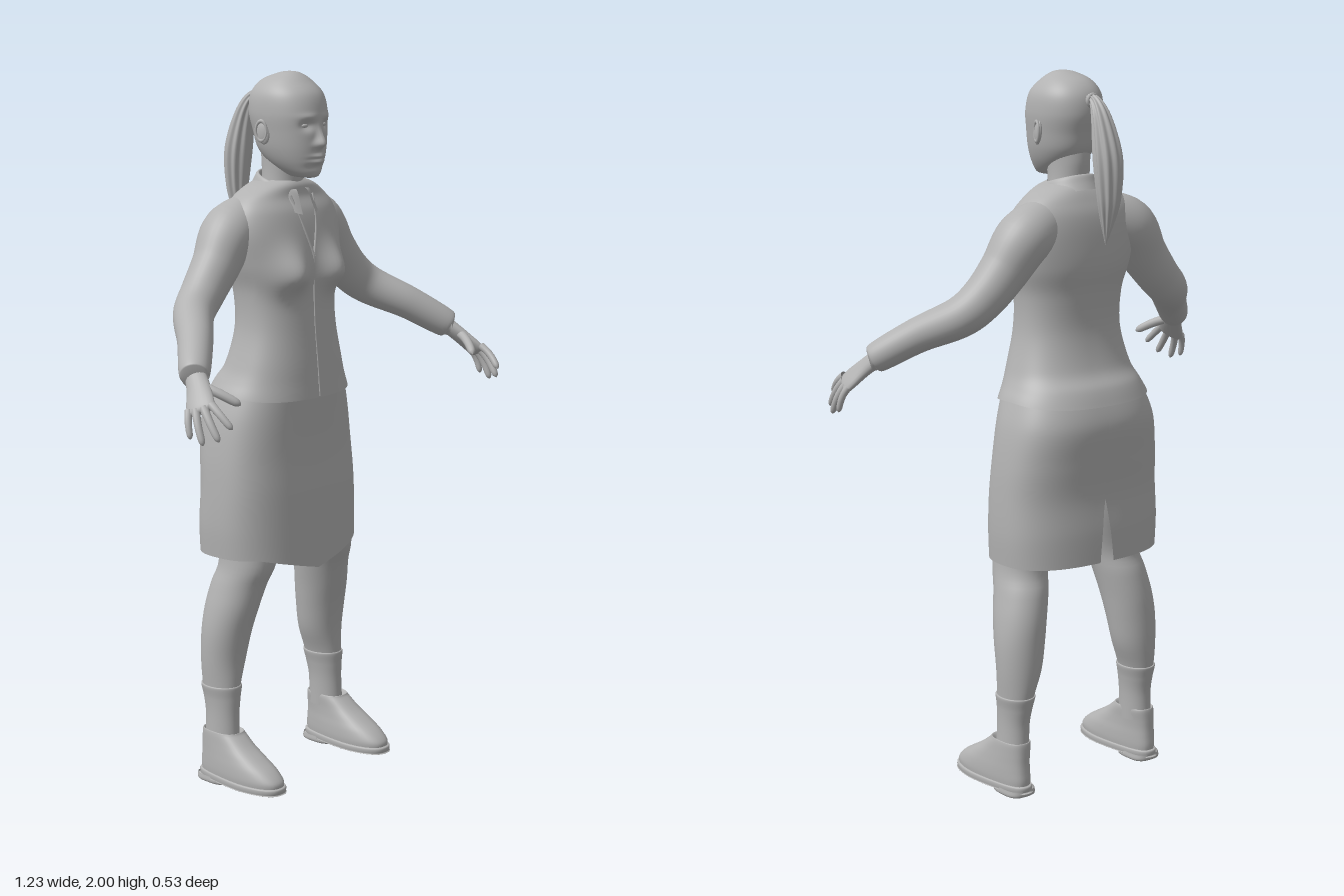
import * as THREE from 'three';

const grey = new THREE.MeshStandardMaterial({ color: 0xb2b2b2, side: THREE.DoubleSide });
grey.name = 'plain grey';

const V = (x, y, z) => new THREE.Vector3(x, y, z);
const bump = (d, w) => Math.exp(-(d / w) * (d / w));
const spow = (c, n) => Math.sign(c) * Math.pow(Math.abs(c), 2 / n);

// Smooth interpolation through rows of numbers, t in 0..1
function sample(rows, t) {
  const f = t * (rows.length - 1);
  const i = Math.min(Math.floor(f), rows.length - 2);
  const k = f - i;
  const at = (j) => rows[Math.max(0, Math.min(rows.length - 1, j))];
  return rows[0].map((_, c) => {
    const [a, b, d, e] = [at(i - 1)[c], at(i)[c], at(i + 1)[c], at(i + 2)[c]];
    return b + 0.5 * k * (d - a + k * (2 * a - 5 * b + 4 * d - e + k * (3 * (b - d) + e - a)));
  });
}

// Smooth surface from a function of u (around) and v (along)
function surface(name, nu, nv, fn, closed = true) {
  const pos = [], idx = [];
  const cols = closed ? nu : nu + 1;
  for (let j = 0; j <= nv; j++)
    for (let i = 0; i < cols; i++) pos.push(...fn(i / nu, j / nv).toArray());
  for (let j = 0; j < nv; j++)
    for (let i = 0; i < nu; i++) {
      const a = j * cols + i, b = j * cols + (i + 1) % cols;
      idx.push(a, b, b + cols, a, b + cols, a + cols);
    }
  const g = new THREE.BufferGeometry();
  g.setAttribute('position', new THREE.Float32BufferAttribute(pos, 3));
  g.setIndex(idx);
  g.computeVertexNormals();
  const m = new THREE.Mesh(g, grey);
  m.name = name;
  return m;
}

// Upright loft; rows are [y, half width, front z, back z, centre x]
function loft(name, rows, { n = 2, nu = 40, nv = 40, deform, slit } = {}) {
  return surface(name, nu, nv, (u, v) => {
    const [y, w, zf, zb, cx = 0] = sample(rows, v);
    const gap = slit ? slit(y) : 0;
    const a = slit ? Math.PI + gap + u * (2 * Math.PI - 2 * gap) : u * 2 * Math.PI;
    const p = V(cx + w * spow(Math.sin(a), n), y, (zf + zb) / 2 + (zf - zb) / 2 * spow(Math.cos(a), n));
    if (deform) deform(p);
    return p;
  }, !slit);
}

// Limb along a path; rows are [x, y, z, radius along side, other radius]
function limb(name, rows, side, { nu = 20, nv = 24, ripple = 0 } = {}) {
  return surface(name, nu, nv, (u, v) => {
    const s = sample(rows, v);
    const T = V(...sample(rows, Math.min(1, v + 0.01))).sub(V(...sample(rows, Math.max(0, v - 0.01)))).normalize();
    const B = side.clone().addScaledVector(T, -side.dot(T)).normalize();
    const N = T.clone().cross(B);
    const a = u * 2 * Math.PI, r = 1 + ripple * Math.cos(9 * a + 4 * v);
    return V(s[0], s[1], s[2]).addScaledVector(B, s[3] * r * Math.cos(a)).addScaledVector(N, s[4] * r * Math.sin(a));
  });
}

function ball(name, x, y, z, sx, sy, sz) {
  const m = new THREE.Mesh(new THREE.SphereGeometry(1, 20, 14), grey);
  m.position.set(x, y, z);
  m.scale.set(sx, sy, sz);
  m.name = name;
  return m;
}

function seam(name, pts, r) {
  const path = new THREE.CatmullRomCurve3(pts.map((p) => V(...p)));
  const m = new THREE.Mesh(new THREE.TubeGeometry(path, 24, r, 6), grey);
  m.name = name;
  return m;
}

function buildHead() {
  const g = new THREE.Group();
  g.name = 'head';
  // Skull and face with nose, eye sockets, brows, lips
  g.add(loft('skull', [
    [1.713, 0.004, 0.035, 0.01], [1.72, 0.035, 0.054, -0.04], [1.75, 0.062, 0.061, -0.095],
    [1.79, 0.08, 0.066, -0.135], [1.84, 0.09, 0.066, -0.15], [1.89, 0.096, 0.065, -0.162],
    [1.94, 0.09, 0.05, -0.155], [1.975, 0.065, 0.015, -0.125], [1.995, 0.03, -0.015, -0.075],
    [2.0, 0.001, -0.04, -0.045]], {
    n: 2.15, nu: 110, nv: 90,
    deform(p) {
      if (p.z < 0) return;
      const ax = Math.abs(p.x), y = p.y;
      const ridge = y > 1.808 ? bump(y - 1.808, 0.035) : bump(y - 1.808, 0.011);
      p.z += 0.023 * bump(p.x, 0.009 + 0.007 * bump(y - 1.805, 0.015)) * ridge;
      p.z -= 0.012 * bump(ax - 0.036, 0.018) * bump(y - 1.858, 0.013);
      p.z += 0.004 * bump(ax - 0.036, 0.025) * bump(y - 1.882, 0.008);
      p.z += 0.008 * bump(p.x, 0.024) * (bump(y - 1.774, 0.006) + bump(y - 1.76, 0.006));
      p.z -= 0.004 * bump(p.x, 0.026) * bump(y - 1.767, 0.003);
      p.z -= 0.004 * bump(p.x, 0.03) * bump(y - 1.744, 0.008);
    } }));
  g.add(loft('neck', [[1.6, 0.08, 0, -0.13], [1.66, 0.062, -0.012, -0.13], [1.71, 0.056, -0.01, -0.128],
    [1.76, 0.056, 0, -0.132], [1.8, 0.06, 0, -0.13]]));
  for (const s of [1, -1]) {
    g.add(ball('eye', s * 0.036, 1.858, 0.043, 0.014, 0.007, 0.009));
    const ear = ball('ear', s * 0.094, 1.838, -0.055, 0.009, 0.033, 0.019);
    ear.rotation.set(-0.15, s * -0.3, 0);
    const rim = new THREE.Mesh(new THREE.TorusGeometry(0.019, 0.004, 8, 24), grey);
    rim.name = 'earRim';
    rim.position.set(s * 0.1, 1.842, -0.057);
    rim.rotation.set(0, Math.PI / 2 - s * 0.3, 0);
    rim.scale.set(0.85, 1.4, 1);
    g.add(ear, rim);
  }
  // Ponytail
  g.add(limb('ponytail', [
    [0, 1.925, -0.14, 0.012, 0.012], [-0.003, 1.928, -0.175, 0.015, 0.014], [-0.005, 1.88, -0.205, 0.028, 0.024],
    [-0.008, 1.78, -0.228, 0.04, 0.034], [-0.008, 1.68, -0.234, 0.034, 0.027], [-0.008, 1.61, -0.228, 0.02, 0.016],
    [-0.008, 1.545, -0.22, 0.001, 0.001]], V(1, 0, 0), { nu: 72, nv: 40, ripple: 0.09 }));
  const tie = new THREE.Mesh(new THREE.TorusGeometry(0.015, 0.006, 8, 24), grey);
  tie.name = 'hairTie';
  tie.position.set(-0.002, 1.927, -0.168);
  g.add(tie);
  return g;
}

function buildJacket() {
  const g = new THREE.Group();
  g.name = 'jacket';
  g.add(loft('jacketBody', [
    [1.105, 0.219, 0.07, -0.247], [1.15, 0.2, 0.066, -0.228], [1.2, 0.181, 0.062, -0.195],
    [1.3, 0.157, 0.052, -0.172], [1.4, 0.158, 0.045, -0.176], [1.48, 0.18, 0.045, -0.19],
    [1.56, 0.195, 0.035, -0.19], [1.62, 0.185, 0.02, -0.183], [1.66, 0.155, 0, -0.168],
    [1.69, 0.105, -0.005, -0.152], [1.705, 0.06, -0.015, -0.135]], {
    n: 2.35, nu: 90, nv: 70,
    deform(p) {
      if (p.z > -0.04) p.z += 0.046 * bump(Math.abs(p.x) - 0.085, 0.055) * bump(p.y - 1.45, p.y > 1.45 ? 0.07 : 0.045);
      // hem rises a little over the hips
      p.y += 0.015 * bump(p.z + 0.09, 0.1) * bump(p.y - 1.105, 0.04);
    } }));
  // Folded collar, open at the front
  const fold = [[0.004, -0.025], [-0.004, 0.028], [0.004, 0.032], [0.014, 0.01], [0.024, -0.012]];
  g.add(surface('collar', 48, 16, (u, v) => {
    const [r, h] = sample(fold, v);
    const a = 0.3 + u * (2 * Math.PI - 0.6), end = bump(Math.min(u, 1 - u), 0.1);
    const z = -0.07 + (0.068 + r) * Math.cos(a);
    return V((0.066 + r) * Math.sin(a), 1.673 + h - 0.3 * (z + 0.07) - 0.02 * end * v, z + 0.012 * end * v);
  }, false));
  // Neckline edges and front closure
  for (const s of [1, -1])
    g.add(seam('necklineEdge', [[s * 0.045, 1.665, 0], [s * 0.025, 1.58, 0.03], [0, 1.5, 0.047]], 0.004));
  g.add(seam('frontClosure', [[0, 1.5, 0.047], [0, 1.4, 0.048], [0, 1.3, 0.052], [0, 1.2, 0.062], [0, 1.11, 0.07]], 0.002));
  return g;
}

function buildSkirt() {
  return loft('skirt', [
    [0.665, 0.25, 0.066, -0.245], [0.75, 0.255, 0.062, -0.243], [0.85, 0.253, 0.057, -0.236],
    [0.95, 0.246, 0.051, -0.243], [1.05, 0.23, 0.052, -0.25], [1.13, 0.203, 0.055, -0.228]], {
    n: 2.6, nu: 90, nv: 40,
    // back slit widening towards the hem
    slit: (y) => 0.045 * Math.max(0, (0.84 - y) / 0.175),
    deform(p) {
      if (p.z > 0) p.y -= 0.05 * Math.max(0, 1 - Math.abs(p.x) / 0.2) * Math.max(0, (0.95 - p.y) / 0.285);
    } });
}

// Model's left arm
function buildArm() {
  const g = new THREE.Group();
  g.name = 'arm';
  g.add(limb('sleeve', [
    [0.08, 1.6, -0.1, 0.06, 0.075], [0.175, 1.568, -0.105, 0.078, 0.078], [0.24, 1.485, -0.097, 0.066, 0.068],
    [0.3, 1.418, -0.088, 0.06, 0.061], [0.36, 1.368, -0.064, 0.056, 0.056], [0.44, 1.315, 0.02, 0.048, 0.048],
    [0.522, 1.252, 0.097, 0.041, 0.041], [0.524, 1.25, 0.099, 0.027, 0.024]], V(0, 0, 1), { nu: 32, nv: 56 }));
  const across = V(-0.03, 0.025, 0.065);
  g.add(limb('palm', [
    [0.51, 1.265, 0.08, 0.027, 0.022], [0.54, 1.222, 0.128, 0.033, 0.019], [0.566, 1.187, 0.16, 0.04, 0.016],
    [0.577, 1.17, 0.174, 0.036, 0.012], [0.58, 1.165, 0.178, 0.004, 0.002]], across));
  const fingers = [
    ['littleFinger', [0.588, 1.17, 0.14], [0.605, 1.1, 0.163], 0.0095],
    ['ringFinger', [0.582, 1.174, 0.16], [0.6, 1.088, 0.203], 0.0105],
    ['middleFinger', [0.573, 1.181, 0.18], [0.581, 1.1, 0.242], 0.011],
    ['indexFinger', [0.563, 1.19, 0.197], [0.556, 1.132, 0.265], 0.0105],
    ['thumb', [0.535, 1.225, 0.14], [0.485, 1.18, 0.228], 0.013]];
  for (const [name, a, b, r] of fingers) {
    const at = (k, q) => [0, 1, 2].map((c) => a[c] + (b[c] - a[c]) * k + (c < 2 ? 0.02 * k * (1 - k) : 0)).concat(q, q);
    g.add(limb(name, [at(0, r * 1.1), at(0.3, r), at(0.6, r * 0.95), at(0.9, r * 0.8), at(1, 0.001)], across, { nu: 12, nv: 14 }));
  }
  return g;
}

// Model's left leg
function buildLeg() {
  const g = new THREE.Group();
  g.name = 'leg';
  g.add(loft('bareLeg', [
    [0.12, 0.038, -0.05, -0.153, 0.222], [0.2, 0.038, -0.053, -0.153, 0.22], [0.28, 0.046, -0.05, -0.168, 0.217],
    [0.36, 0.063, -0.047, -0.176, 0.206], [0.44, 0.071, -0.033, -0.177, 0.199], [0.51, 0.073, -0.014, -0.174, 0.189],
    [0.58, 0.073, 0.005, -0.163, 0.174], [0.65, 0.074, 0.03, -0.146, 0.159], [0.78, 0.09, 0.035, -0.17, 0.138],
    [0.98, 0.1, 0.035, -0.19, 0.11]]));
  g.add(loft('sock', [[0.12, 0.041, -0.047, -0.156, 0.222], [0.2, 0.041, -0.05, -0.156, 0.22],
    [0.25, 0.045, -0.048, -0.165, 0.218], [0.284, 0.051, -0.046, -0.173, 0.217], [0.287, 0.045, -0.052, -0.167, 0.217]]));
  // Shoe tapers towards the heel
  const taper = (p) => { p.x = 0.226 + (p.x - 0.226) * (0.8 + 0.2 * THREE.MathUtils.smoothstep(p.z, -0.13, 0.04)); };
  g.add(loft('shoeUpper', [
    [0.025, 0.056, 0.123, -0.168, 0.226], [0.045, 0.058, 0.122, -0.17, 0.226], [0.07, 0.057, 0.095, -0.168, 0.226],
    [0.095, 0.054, 0.053, -0.166, 0.226], [0.12, 0.052, 0.01, -0.165, 0.225], [0.148, 0.051, -0.028, -0.163, 0.223],
    [0.155, 0.047, -0.036, -0.159, 0.223], [0.14, 0.038, -0.05, -0.15, 0.222]], { n: 2.5, deform: taper }));
  g.add(loft('sole', [[0.011, 0.001, 0.0, -0.02, 0.226], [0.012, 0.056, 0.12, -0.168, 0.226],
    [0.016, 0.061, 0.129, -0.175, 0.226], [0.03, 0.061, 0.129, -0.175, 0.226], [0.032, 0.05, 0.11, -0.16, 0.226]],
    { n: 2.5, deform: taper }));
  g.add(loft('heel', [[0, 0.001, -0.11, -0.12, 0.226], [0.001, 0.053, -0.062, -0.17, 0.226],
    [0.02, 0.056, -0.058, -0.173, 0.226]], { n: 3, nv: 12, deform: taper }));
  return g;
}

export function createModel() {
  const model = new THREE.Group();
  model.name = 'woman';
  model.add(buildHead(), buildJacket(), buildSkirt());
  for (const [side, s] of [['left', 1], ['right', -1]]) {
    for (const [part, build] of [['Arm', buildArm], ['Leg', buildLeg]]) {
      const g = build();
      g.name = side + part;
      g.scale.x = s;
      model.add(g);
    }
  }
  return model;
}
